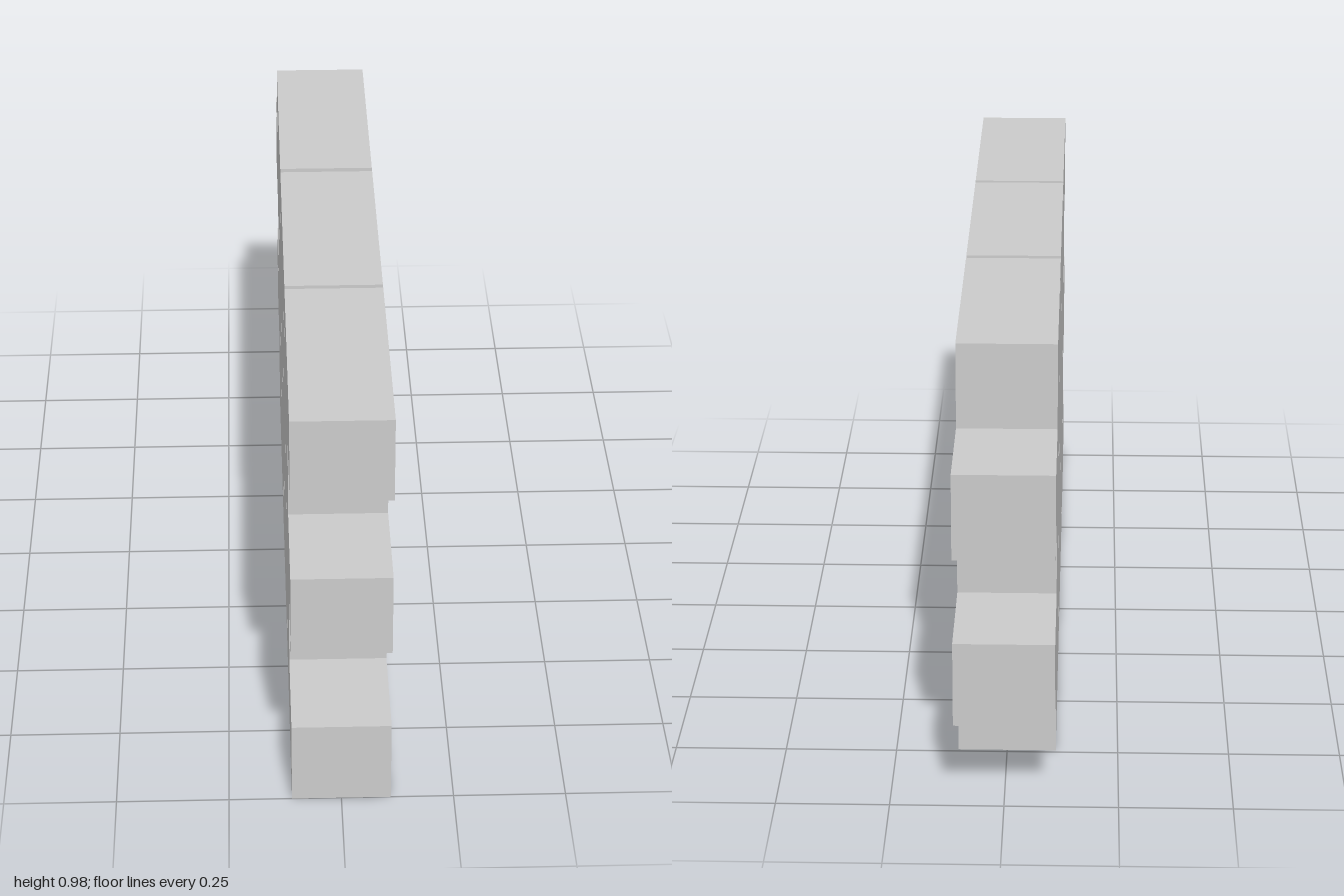
import * as THREE from 'three';

const BRICK_LENGTH = 0.57;
const BRICK_WIDTH = 0.22;
const ROW_HEIGHT = 0.196;

export function createModel() {
  const wall = new THREE.Group();
  wall.name = 'brickWall';
  const material = new THREE.MeshStandardMaterial({ color: 0xcccccc, flatShading: true });
  const brick = new THREE.BoxGeometry(BRICK_WIDTH, ROW_HEIGHT, BRICK_LENGTH);

  // Brick centres along z: alternate courses are shifted by about half a brick
  const courses = [
    [0.715, 0.131, -0.457],
    [0.461, -0.124, -0.715],
  ];

  // Five stacked courses, with narrow open joints between the bricks
  for (let row = 0; row < 5; row++) {
    const course = new THREE.Group();
    course.name = `course${row + 1}`;
    course.position.y = (row + 0.5) * ROW_HEIGHT;
    courses[row % 2].forEach((z, i) => {
      const mesh = new THREE.Mesh(brick, material);
      mesh.name = `brick${i + 1}`;
      mesh.position.z = z;
      course.add(mesh);
    });
    wall.add(course);
  }
  return wall;
}
